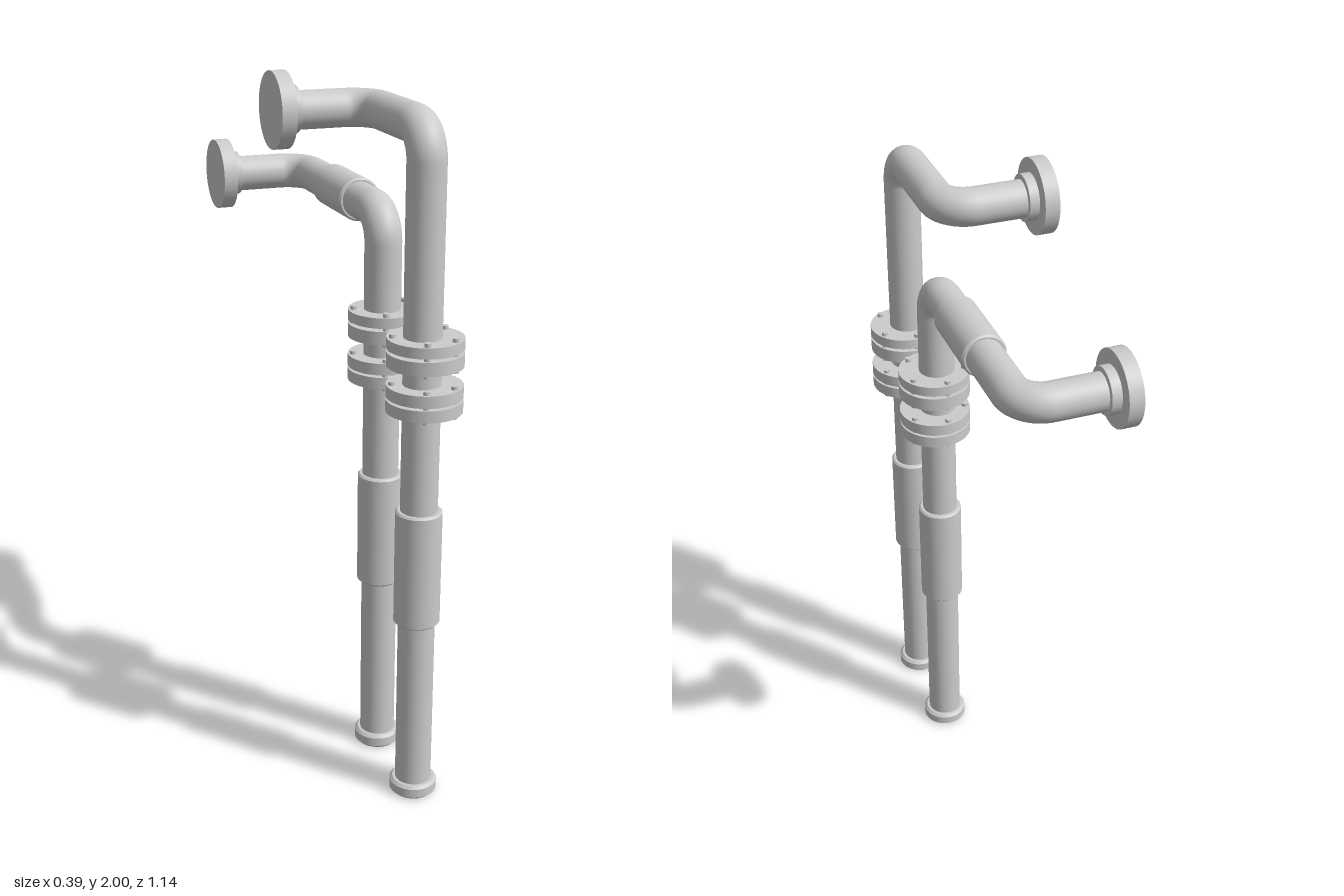
import * as THREE from 'three';

const PIPE_X = 0.083, PIPE_R = 0.051, BEND = 0.08;
const material = new THREE.MeshStandardMaterial({ color: 0xcccccc, side: THREE.DoubleSide });

function mesh(name, geometry, parent) {
  const m = new THREE.Mesh(geometry, material);
  m.name = name;
  parent.add(m);
  return m;
}

// Solid round part along y, from y0 to y1, with an optional chamfer; hard edges
function turned(name, r, y0, y1, chamfer, parent) {
  const c = chamfer;
  const rings = c
    ? [[0, y0], [r - c, y0], [r, y0 + c], [r, y1 - c], [r - c, y1], [0, y1]]
    : [[0, y0], [r, y0], [r, y1], [0, y1]];
  const group = new THREE.Group();
  group.name = name;
  for (let i = 0; i < rings.length - 1; i++) {
    const pts = [rings[i], rings[i + 1]].map(p => new THREE.Vector2(...p));
    mesh(name + 'Face', new THREE.LatheGeometry(pts, 40), group);
  }
  parent.add(group);
  return group;
}

// Path through corner points with rounded elbows
function pipePath(corners) {
  const path = new THREE.CurvePath();
  let from = corners[0];
  for (let i = 1; i < corners.length - 1; i++) {
    const p = corners[i];
    const din = p.clone().sub(corners[i - 1]).normalize();
    const dout = corners[i + 1].clone().sub(p).normalize();
    const a = p.clone().addScaledVector(din, -BEND);
    const b = p.clone().addScaledVector(dout, BEND);
    const k = BEND * 0.5523;
    path.add(new THREE.LineCurve3(from, a));
    path.add(new THREE.CubicBezierCurve3(a, a.clone().addScaledVector(din, k),
      b.clone().addScaledVector(dout, -k), b));
    from = b;
  }
  path.add(new THREE.LineCurve3(from, corners[corners.length - 1]));
  return path;
}

// Two bolted discs with a gasket between them
function flangePair(discs, bolts) {
  const g = new THREE.Group();
  g.name = 'flangePair';
  for (const [y0, y1] of discs) turned('flangeDisc', 0.102, y0, y1, 0, g);
  turned('gasket', 0.062, discs[0][1], discs[1][0], 0, g);
  for (const deg of [-31, 51, 110, 194, 262]) {
    const a = THREE.MathUtils.degToRad(deg);
    const bolt = turned('bolt', 0.009, bolts[0], bolts[1], 0, g);
    bolt.position.set(0.087 * Math.cos(a), 0, 0.087 * Math.sin(a));
  }
  return g;
}

function pipeLine(name, z, height, endZ) {
  const g = new THREE.Group();
  g.name = name;

  // Riser, run to the back and turn to the wall
  const path = pipePath([
    new THREE.Vector3(PIPE_X, 0.02, z),
    new THREE.Vector3(PIPE_X, height, z),
    new THREE.Vector3(PIPE_X, height, endZ),
    new THREE.Vector3(-0.15, height, endZ),
  ]);
  mesh('pipe', new THREE.TubeGeometry(path, 260, PIPE_R, 32, false), g);

  // Foot cap and thick sleeve on the riser
  turned('footCap', 0.067, 0, 0.042, 0.008, g).position.set(PIPE_X, 0, z);
  turned('riserSleeve', 0.064, 0.542, 0.877, 0.005, g).position.set(PIPE_X, 0, z);

  // Two bolted joints
  const upper = flangePair([[1.286, 1.324], [1.333, 1.362]], [1.278, 1.372]);
  const lower = flangePair([[1.161, 1.194], [1.201, 1.234]], [1.153, 1.243]);
  for (const joint of [upper, lower]) {
    joint.position.set(0.091, 0, z);
    g.add(joint);
  }

  // Wall mount
  const mount = new THREE.Group();
  mount.name = 'wallMount';
  turned('wallFlange', 0.102, 0, 0.041, 0, mount);
  turned('wallCollar', 0.063, 0.041, 0.068, 0, mount);
  mount.rotation.z = -Math.PI / 2;
  mount.position.set(-0.197, height + 0.003, endZ - 0.002);
  g.add(mount);
  return g;
}

export function createModel() {
  const model = new THREE.Group();
  model.name = 'pipes';
  model.add(pipeLine('frontPipe', 0.467, 1.895, 0.087));
  const rear = pipeLine('rearPipe', 0.189, 1.627, -0.467);
  model.add(rear);

  // Sleeve on the horizontal run of the rear pipe
  const sleeve = turned('runSleeve', 0.061, -0.114, 0.114, 0.005, rear);
  sleeve.rotation.x = Math.PI / 2;
  sleeve.position.set(PIPE_X, 1.627, -0.101);
  return model;
}
